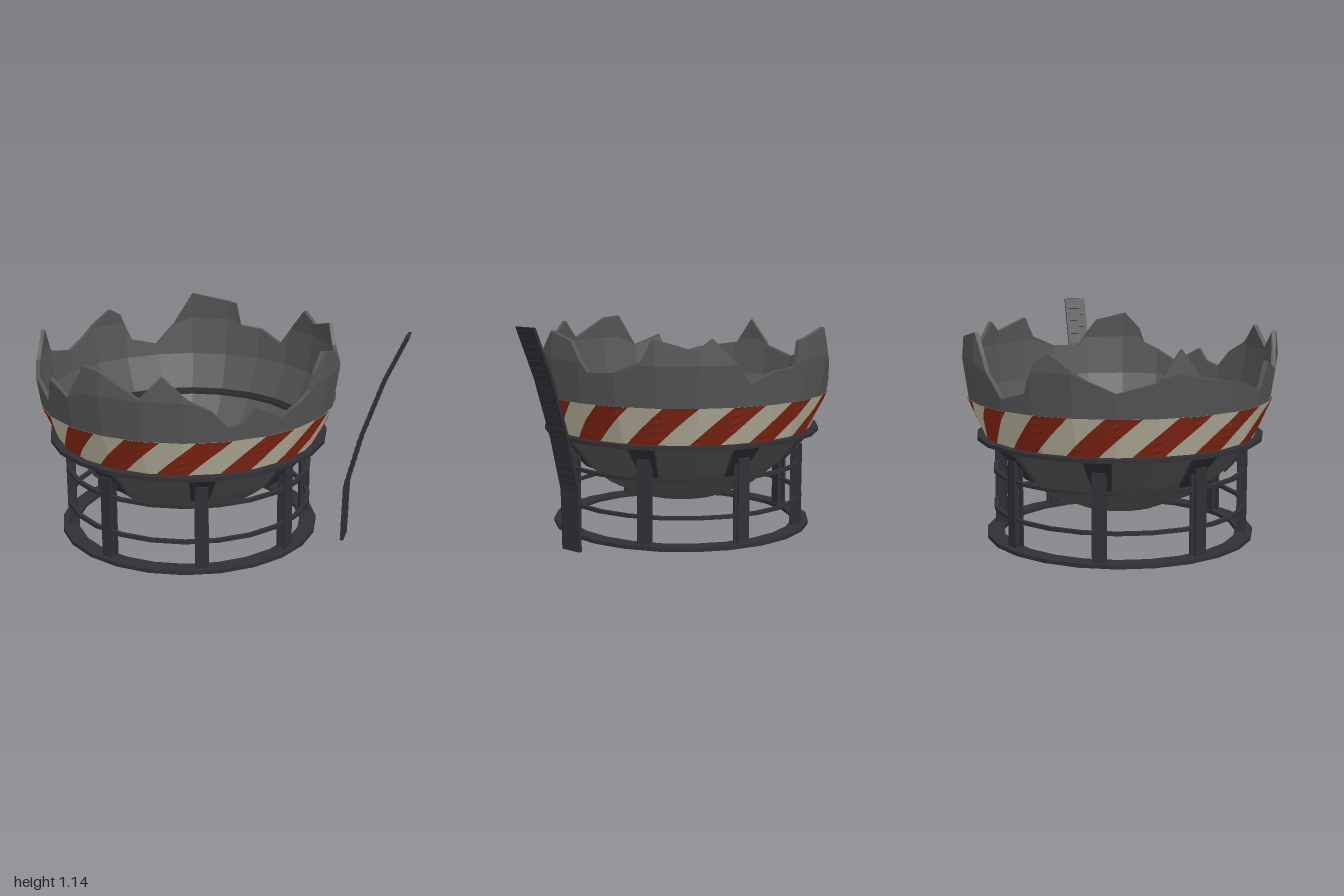
import * as THREE from 'three';

const SIDES = 24, STEP = 360 / SIDES, CX = -0.18;
const rad = THREE.MathUtils.degToRad;

const mat = (color) => new THREE.MeshStandardMaterial({ color, flatShading: true, side: THREE.DoubleSide });
const shellMat = mat(0x555555), frameMat = mat(0x302f35), redMat = mat(0x8b2814), creamMat = mat(0xc4bfa9);

function add(parent, name, geometry, material) {
  const mesh = new THREE.Mesh(geometry, material);
  mesh.name = name;
  parent.add(mesh);
  return mesh;
}

const lathe = (pairs) => new THREE.LatheGeometry(pairs.map(([r, y]) => new THREE.Vector2(r, y)), SIDES);

// Flat ring with a rectangular section
const ring = (r0, r1, y0, y1) => lathe([[r0, y0], [r1, y0], [r1, y1], [r0, y1], [r0, y0]]);

// Point on the many-sided wall at an angle in degrees (0 = front, 90 = +x)
function wallPoint(r, y, deg) {
  const local = (((deg % STEP) + STEP) % STEP) - STEP / 2;
  const rr = r * Math.cos(rad(STEP / 2)) / Math.cos(rad(local));
  return [rr * Math.sin(rad(deg)), y, rr * Math.cos(rad(deg))];
}

// Joins successive cross-sections into a surface
function loft(sections, positions = []) {
  for (let i = 0; i < sections.length - 1; i++) {
    const a = sections[i], b = sections[i + 1];
    for (let j = 0; j < a.length - 1; j++) {
      positions.push(...a[j], ...b[j], ...b[j + 1], ...a[j], ...b[j + 1], ...a[j + 1]);
    }
  }
  return positions;
}

function surface(positions) {
  const g = new THREE.BufferGeometry();
  g.setAttribute('position', new THREE.Float32BufferAttribute(positions, 3));
  g.computeVertexNormals();
  return g;
}

// Broken rim: angle and height of each corner
const RIM = [
  [0, .96], [8, 1.07], [17, .96], [25, .90], [31, .81], [37, .835], [41, .90], [52, .82], [60, .88], [66, .92],
  [68, 1.0], [74, 1.09], [86, 1.05], [91, .96], [94, .90], [105, .91], [115, .97], [119, 1.08], [134, 1.02],
  [140, 1.08], [149, .95], [154, .85], [164, .91], [174, .92], [176, 1.05], [195, 1.10], [203, .92], [211, .80],
  [222, .84], [227, 1.0], [232, 1.04], [245, .92], [255, .86], [269, .91], [277, 1.06], [284, .92], [303, .88],
  [315, .82], [319, .96], [330, .90], [338, 1.08], [345, 1.07], [360, .96],
];

function rimHeight(deg) {
  const i = Math.max(1, RIM.findIndex(([a]) => a >= deg));
  const [a0, h0] = RIM[i - 1], [a1, h1] = RIM[i];
  return h0 + (h1 - h0) * (deg - a0) / (a1 - a0);
}

function brokenWall() {
  const radius = (y) => (y < 0.95 ? 0.79 + (y - 0.74) * 0.143 : 0.82 - (y - 0.95) * 0.08);
  const angles = new Set(RIM.map(([a]) => a));
  for (let k = 0; k <= SIDES; k++) angles.add(k * STEP);
  const sections = [...angles].sort((a, b) => a - b).map((deg) => {
    const h = rimHeight(deg), m = Math.min(0.95, h), t = 0.022;
    const p = (y, inset) => wallPoint(radius(y) - inset, y, deg);
    return [p(0.74, 0), p(m, 0), p(h, 0), p(h, t), p(m, t), p(0.74, t)];
  });
  return surface(loft(sections));
}

// Slanted warning stripes around the band
function stripes(count, slant) {
  const positions = [], period = 360 / count, cols = 8, rows = 5;
  for (let s = 0; s < count; s++) {
    const sections = [];
    for (let c = 0; c <= cols; c++) {
      const section = [];
      for (let r = 0; r <= rows; r++) {
        const t = r / rows;
        const deg = -6 + s * period + (c / cols) * period / 2 - slant * (1 - t);
        section.push(wallPoint(0.707 + 0.09 * t, 0.535 + 0.205 * t, deg));
      }
      sections.push(section);
    }
    loft(sections, positions);
  }
  return surface(positions);
}

// I-beam leg with a tapered plate lying against the bowl
function makeLeg(deg) {
  const leg = new THREE.Group();
  leg.name = 'leg';
  const outer = add(leg, 'outerFlange', new THREE.BoxGeometry(0.066, 0.46, 0.012), frameMat);
  outer.position.set(0, 0.23, 0.664);
  const web = add(leg, 'web', new THREE.BoxGeometry(0.03, 0.44, 0.03), frameMat);
  web.position.set(0, 0.22, 0.645);
  const inner = add(leg, 'innerFlange', new THREE.BoxGeometry(0.066, 0.43, 0.012), frameMat);
  inner.position.set(0, 0.215, 0.626);

  const plate = new THREE.Shape([[-0.045, -0.115], [0.045, -0.115], [0.07, 0.115], [-0.07, 0.115]]
    .map(([x, y]) => new THREE.Vector2(x, y)));
  const bracket = add(leg, 'bracket', new THREE.ExtrudeGeometry(plate, { depth: 0.02, bevelEnabled: false }), frameMat);
  bracket.position.set(0, 0.445, 0.62);
  bracket.rotation.x = rad(41);
  leg.rotation.y = rad(deg);
  return leg;
}

// Curved upright strip with cross ridges
function makeLadder() {
  const ladder = new THREE.Group();
  ladder.name = 'ladder';
  const path = [[.69, 0], [.697, .31], [.765, .58], [.87, .89], [.984, 1.145]];
  const half = 0.009;
  const left = path.map(([x, y]) => new THREE.Vector2(x - half, y));
  const right = path.map(([x, y]) => new THREE.Vector2(x + half, y)).reverse();
  const strip = new THREE.ExtrudeGeometry(new THREE.Shape([...left, ...right]), { depth: 0.12, bevelEnabled: false });
  strip.translate(0, 0, -0.06);
  add(ladder, 'ladderStrip', strip, frameMat);
  for (let i = 0; i < path.length - 1; i++) {
    const [x0, y0] = path[i], [x1, y1] = path[i + 1];
    const n = Math.round((y1 - y0) / 0.037);
    for (let k = 0; k < n; k++) {
      const t = (k + 0.5) / n;
      const rung = add(ladder, 'rung', new THREE.BoxGeometry(0.024, 0.01, 0.085), frameMat);
      rung.position.set(x0 + (x1 - x0) * t, y0 + (y1 - y0) * t, 0);
      rung.rotation.z = -Math.atan2(x1 - x0, y1 - y0);
    }
  }
  return ladder;
}

export function createModel() {
  const model = new THREE.Group();
  model.name = 'brokenBowlOnStand';
  const body = new THREE.Group();
  body.name = 'bowlAndStand';
  body.position.x = CX;
  model.add(body);

  // Bowl with its inner face
  add(body, 'bowl', lathe([
    [0, .13], [.22, .16], [.41, .24], [.56, .36], [.70, .535], [.79, .74],
    [.768, .74], [.68, .545], [.54, .38], [.40, .26], [.22, .18], [0, .15],
  ]), shellMat);
  add(body, 'brokenWall', brokenWall(), shellMat);
  add(body, 'drain', ring(0.014, 0.042, 0.14, 0.175), frameMat);

  // Warning band
  add(body, 'band', lathe([[.703, .535], [.793, .74]]), creamMat);
  add(body, 'bandStripes', stripes(14, 16.5), redMat);

  // Stand rings
  add(body, 'collar', ring(0.65, 0.75, 0.522, 0.542), frameMat);
  add(body, 'innerCollarLip', ring(0.668, 0.692, 0.54, 0.552), frameMat);
  add(body, 'baseRing', ring(0.615, 0.705, 0, 0.02), frameMat);
  for (const y of [0.162, 0.356]) add(body, 'railRing', ring(0.645, 0.668, y - 0.009, y + 0.009), frameMat);

  for (let k = 0; k < 8; k++) body.add(makeLeg(22.5 + 45 * k));
  model.add(makeLadder());
  return model;
}
